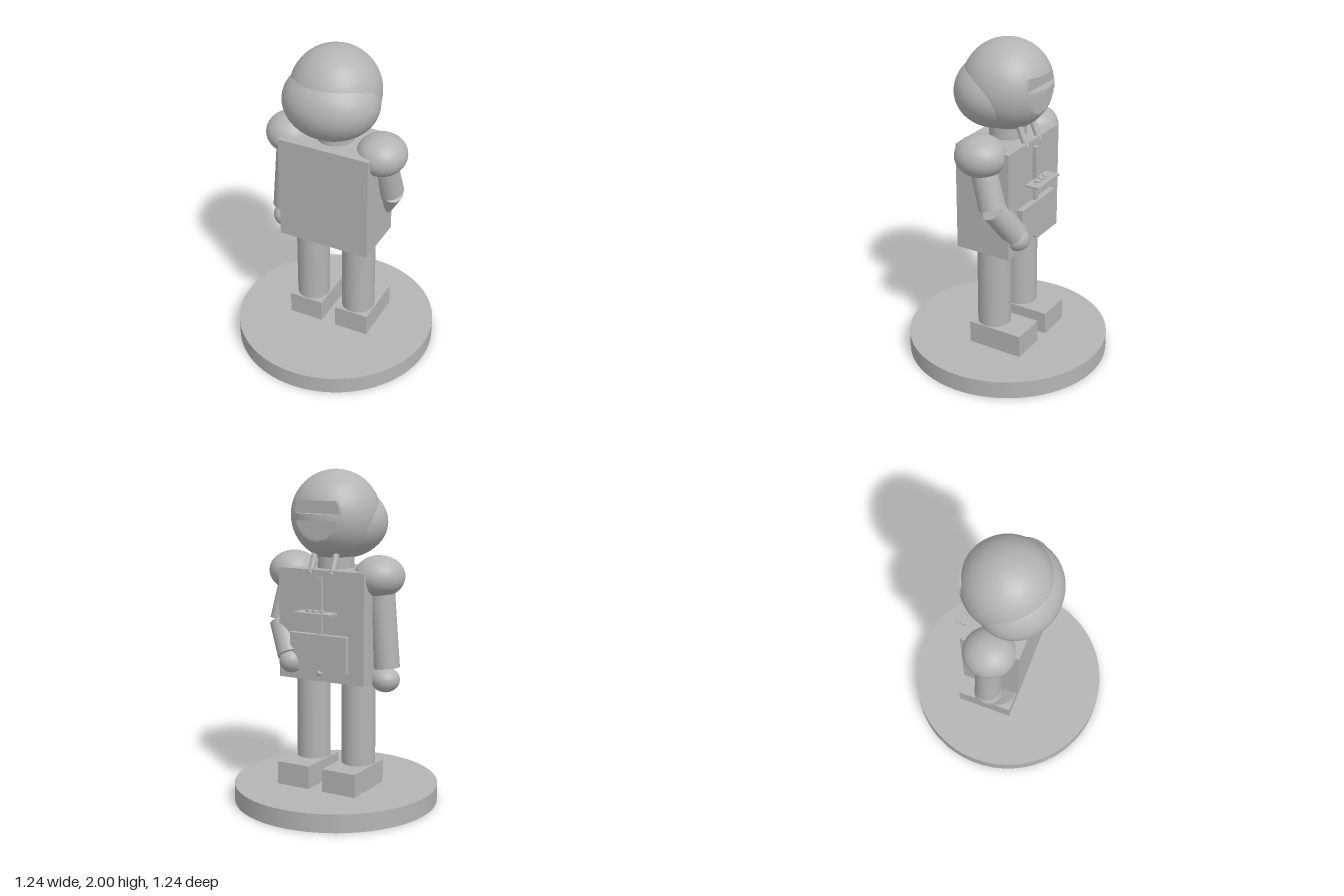
import * as THREE from 'three';
import { toCreasedNormals } from 'three/addons/utils/BufferGeometryUtils.js';
import { ParametricGeometry } from 'three/addons/geometries/ParametricGeometry.js';

const grey = new THREE.MeshStandardMaterial({ color: 0xb4b4b4 });
grey.name = 'grey';

// Ball head of radius R whose face is cut flat in two bands, leaving a raised strip between
function headGeometry() {
  const R = 0.265, cy = 1.735, none = -1;
  const edges = [1.717, 1.754, 1.83];
  const cuts = [-0.225, none, -0.213, none]; // face plane z below, between and above the edges
  const rows = [];
  const steps = 60;
  for (let i = 0; i <= steps; i++) {
    const y = cy - R * Math.cos((Math.PI * i) / steps);
    rows.push([y, cuts[edges.filter((e) => y > e).length]]);
  }
  edges.forEach((e, k) => rows.push([e - 1e-5, cuts[k]], [e + 1e-5, cuts[k + 1]]));
  rows.sort((a, b) => a[0] - b[0]);
  const point = (u, v, target) => {
    const [y, cut] = rows[Math.round(v * (rows.length - 1))];
    const r = Math.sqrt(Math.max(0, R * R - (y - cy) ** 2));
    const a = u * Math.PI * 2;
    target.set(r * Math.sin(a), y, Math.max(r * Math.cos(a), cut));
  };
  return toCreasedNormals(new ParametricGeometry(point, 96, rows.length - 1), 0.35);
}

export function createModel() {
  const model = new THREE.Group();

  const add = (name, geometry, x = 0, y = 0, z = 0) => {
    const mesh = new THREE.Mesh(geometry, grey);
    mesh.name = name;
    mesh.position.set(x, y, z);
    model.add(mesh);
    return mesh;
  };
  // Box given by its limits on each axis
  const box = (name, x0, x1, y0, y1, z0, z1) =>
    add(name, new THREE.BoxGeometry(x1 - x0, y1 - y0, z1 - z0), (x0 + x1) / 2, (y0 + y1) / 2, (z0 + z1) / 2);
  const ball = (name, x, y, z, rx, ry = rx, rz = rx) =>
    add(name, new THREE.SphereGeometry(1, 48, 32), x, y, z).scale.set(rx, ry, rz);
  // Cylinder between two points
  const rod = (name, from, to, r) => {
    const a = new THREE.Vector3(...from), b = new THREE.Vector3(...to);
    const dir = b.clone().sub(a);
    const mesh = add(name, new THREE.CylinderGeometry(r, r, dir.length(), 40));
    mesh.position.copy(a).add(b).multiplyScalar(0.5);
    mesh.quaternion.setFromUnitVectors(new THREE.Vector3(0, 1, 0), dir.normalize());
  };

  // Stand
  add('base', new THREE.CylinderGeometry(0.62, 0.62, 0.11, 96), 0, 0.055, 0);

  // Body and head
  box('torso', -0.288, 0.288, 0.765, 1.425, -0.178, 0.176);
  rod('neck', [0, 1.4, 0], [0, 1.56, 0], 0.11);
  add('head', headGeometry());
  ball('headBack', 0, 1.692, 0.06, 0.287, 0.22, 0.25);

  for (const s of [-1, 1]) {
    const side = s > 0 ? 'left' : 'right';
    box(side + 'Foot', s * 0.157 - 0.11, s * 0.157 + 0.11, 0.11, 0.25, -0.243, 0.11);
    rod(side + 'Leg', [s * 0.157, 0.25, 0], [s * 0.157, 0.77, 0], 0.102);
    ball(side + 'Shoulder', s * 0.293, 1.389, 0, 0.149, 0.122, 0.154);
    // Hoses from the chin to the top of the chest
    rod(side + 'Hose', [s * 0.072, 1.55, -0.105], [s * 0.072, 1.4, -0.168], 0.019);
  }

  // Straight arm
  rod('rightArm', [-0.3, 1.39, 0], [-0.345, 0.855, 0], 0.078);
  ball('rightHand', -0.337, 0.78, 0, 0.086, 0.074, 0.086);

  // Bent arm, reaching across the belly
  rod('leftUpperArm', [0.29, 1.389, 0], [0.316, 1.093, -0.09], 0.08);
  rod('leftForearm', [0.318, 1.085, -0.1], [0.212, 0.905, -0.178], 0.075);
  ball('leftHand', 0.2, 0.872, -0.186, 0.072);

  // Chest gear: upright bar, small shelf with knobs, belly pack and a bead below it
  box('chestBar', -0.017, 0.017, 0.82, 1.385, -0.2, -0.17);
  box('shelf', -0.122, 0.122, 1.174, 1.186, -0.28, -0.19);
  for (const x of [-0.045, 0, 0.045]) {
    rod('shelfKnob', [x, 1.18, -0.23], [x, 1.197, -0.23], 0.018);
  }
  box('bellyPack', -0.19, 0.19, 0.835, 1.05, -0.214, -0.17);
  ball('bead', 0, 0.817, -0.19, 0.018);

  return model;
}
